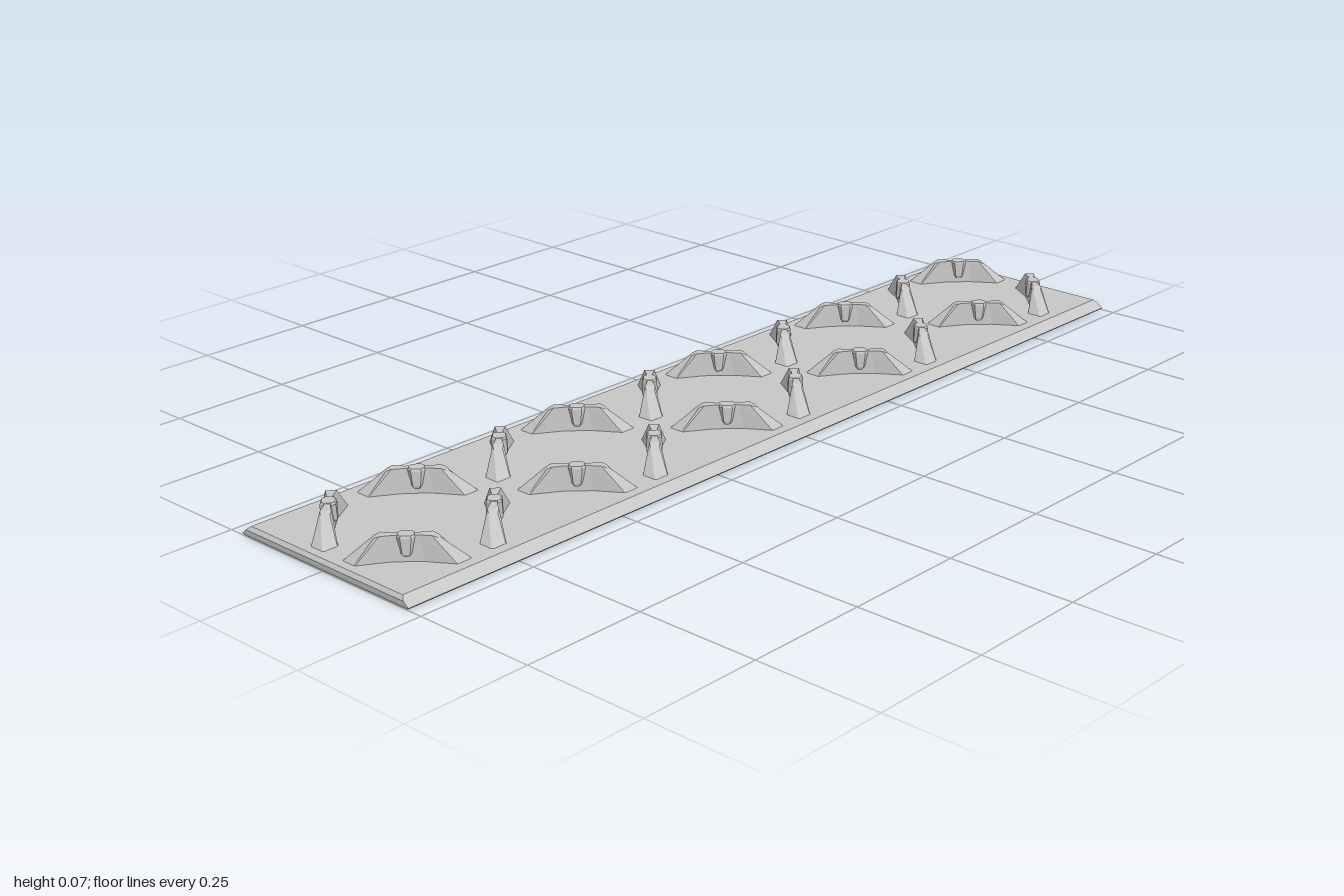
import * as THREE from 'three';

// Skin a stack of equal-length point loops into a closed, flat-shaded solid.
function loft(loops) {
  const pos = [], n = loops[0].length;
  const tri = (a, b, c) => pos.push(...a, ...b, ...c);
  for (let k = 0; k < loops.length - 1; k++) {
    for (let i = 0; i < n; i++) {
      const j = (i + 1) % n, lo = loops[k], hi = loops[k + 1];
      tri(lo[i], lo[j], hi[j]);
      tri(lo[i], hi[j], hi[i]);
    }
  }
  const first = loops[0], last = loops[loops.length - 1];
  for (let i = 1; i < n - 1; i++) {
    tri(first[0], first[i + 1], first[i]);
    tri(last[0], last[i], last[i + 1]);
  }
  const g = new THREE.BufferGeometry();
  g.setAttribute('position', new THREE.Float32BufferAttribute(pos, 3));
  g.computeVertexNormals();
  return g;
}

// Bow-tie lug: loops run across the length, from one end to the other.
function lugGeometry() {
  // [base s, base half width, top s, top half width, top y], centre outwards
  const half = [
    [0, 0.010, 0, 0.006, 0.067],
    [0.03, 0.011, 0.022, 0.006, 0.067],
    [0.086, 0.023, 0.044, 0.010, 0.067],
    [0.088, 0.022, 0.053, 0.008, 0.063],
    [0.108, 0.002, 0.056, 0.001, 0.061],
  ];
  const mirrored = half.slice(1).reverse().map(([sb, wb, st, wt, y]) => [-sb, wb, -st, wt, y]);
  const base = 0.019;
  return loft([...mirrored, ...half].map(([sb, wb, st, wt, y]) => [
    [sb, base, -wb], [st, y, -wt], [st, y, wt], [sb, base, wb],
  ]));
}

// Rib that narrows downwards to a rounded foot: [half length, half depth, y]
function ribGeometry() {
  const rings = [[0.007, 0.013, 0.03], [0.011, 0.015, 0.035], [0.016, 0.014, 0.064], [0.014, 0.012, 0.068]];
  return loft(rings.map(([s, d, y]) => [
    [-s, y, 0.006], [-s * 0.6, y, d], [s * 0.6, y, d], [s, y, 0.006],
    [s, y, -0.006], [s * 0.6, y, -d], [-s * 0.6, y, -d], [-s, y, -0.006],
  ]));
}

export function createModel() {
  const model = new THREE.Group();
  model.name = 'treadStrip';
  const grey = new THREE.MeshStandardMaterial({ color: 0xc6c6c6 });
  grey.name = 'grey';

  // Base plate with chamfered sides: [half x, half z, y]
  const rings = [
    [0.216, 0.998, 0], [0.22, 1, 0.004], [0.216, 1, 0.006],
    [0.208, 1, 0.013], [0.2, 0.994, 0.02],
  ];
  const plate = new THREE.Mesh(loft(rings.map(([x, z, y]) => [
    [-x, y, z], [x, y, z], [x, y, -z], [-x, y, -z],
  ])), grey);
  plate.name = 'basePlate';
  model.add(plate);

  // Ten rows of mirrored pairs, reversing direction row by row
  const lugShape = lugGeometry(), ribShape = ribGeometry();
  for (let row = 0; row < 10; row++) {
    for (const side of [-1, 1]) {
      const lug = new THREE.Group();
      lug.name = 'lug';
      const body = new THREE.Mesh(lugShape, grey);
      body.name = 'lugBody';
      const rib = new THREE.Mesh(ribShape, grey);
      rib.name = 'lugRib';
      lug.add(body, rib);
      lug.position.set(side * 0.102, 0, -0.9 + row * 0.2);
      lug.rotation.y = -side * (row % 2 ? -1 : 1) * Math.PI / 4;
      model.add(lug);
    }
  }
  return model;
}
